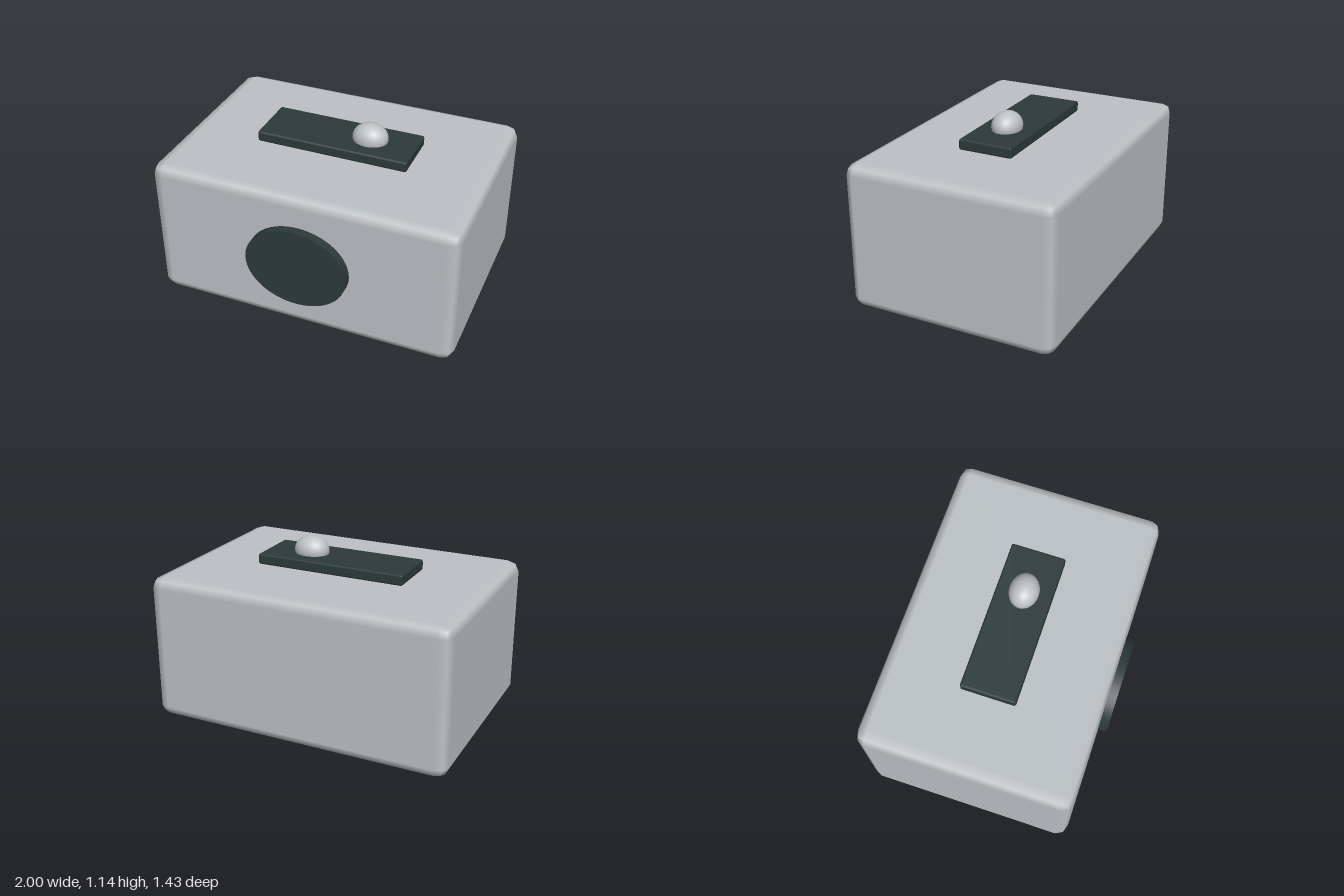
import * as THREE from 'three';

const silver = new THREE.MeshStandardMaterial({ color: 0xbdc2c6 });
silver.name = 'silver grey';
const dark = new THREE.MeshStandardMaterial({ color: 0x2d3a3a });
dark.name = 'dark slate';

// Box with flat faces and smooth bevels; size and bevel are [x, y, z]
function bevelBox(size, bevel, steps = 1) {
  const n = steps * 2 + 1;
  const geo = new THREE.BoxGeometry(2, 2, 2, n, n, n);
  const pos = geo.attributes.position, nor = geo.attributes.normal;
  const v = new THREE.Vector3(), m = new THREE.Vector3();
  for (let i = 0; i < pos.count; i++) {
    v.fromBufferAttribute(pos, i);
    const c = v.toArray();
    // Offset from the inner box: 0 on the flat part, 1 at the outer edge
    const dir = c.map((a) => {
      const t = (Math.abs(a) * n - 1) / (n - 1);
      return Math.sign(a) * Math.tan((Math.PI / 4) * t);
    });
    v.fromArray(dir).normalize();
    const d = v.toArray();
    pos.setXYZ(i, ...d.map((a, k) => Math.sign(c[k]) * (size[k] / 2 - bevel[k]) + a * bevel[k]));
    m.set(d[0] / bevel[0], d[1] / bevel[1], d[2] / bevel[2]).normalize();
    nor.setXYZ(i, m.x, m.y, m.z);
  }
  return geo;
}

export function createModel() {
  const group = new THREE.Group();
  const add = (name, geo, mat, x, y, z) => {
    const mesh = new THREE.Mesh(geo, mat);
    mesh.name = name;
    mesh.position.set(x, y, z);
    group.add(mesh);
    return mesh;
  };

  // Rounded housing
  add('body', bevelBox([2, 0.952, 1.372], [0.082, 0.067, 0.067]), silver, 0, 0.476, -0.028);

  // Thin plate hovering just above the housing
  add('topPlate', bevelBox([1, 0.07, 0.356], [0.014, 0.012, 0.012]), dark, 0, 0.995, -0.027);

  // Ball set through the plate
  add('knob', new THREE.SphereGeometry(1, 32, 24), silver, 0.2, 1.049, -0.027)
    .scale.set(0.116, 0.095, 0.095);

  // Oval disc on the front
  const disc = new THREE.CylinderGeometry(1, 1, 0.11, 64).rotateX(Math.PI / 2);
  add('frontDisc', disc, dark, 0, 0.48, 0.66).scale.set(0.333, 0.272, 1);

  return group;
}
